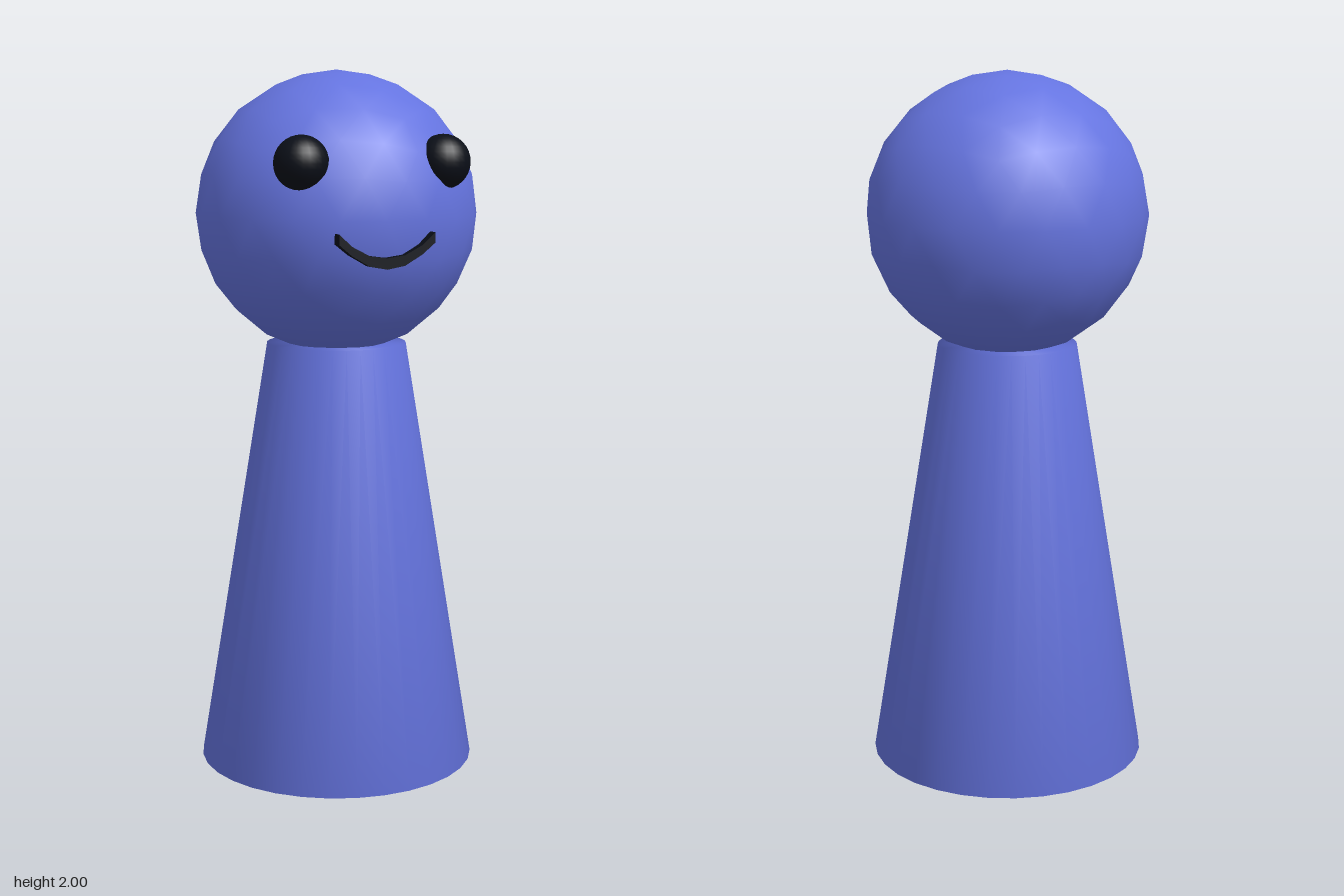
import * as THREE from 'three';
import { mergeVertices } from 'three/addons/utils/BufferGeometryUtils.js';

const blue = new THREE.MeshStandardMaterial({ color: 0x6574e0 });
const black = new THREE.MeshStandardMaterial({ color: 0x0b0f18 });

// Share vertices across edges so the shading runs smoothly over them
function smooth(geometry) {
  geometry.deleteAttribute('normal');
  geometry.deleteAttribute('uv');
  const merged = mergeVertices(geometry, 1e-4);
  merged.computeVertexNormals();
  return merged;
}

export function createModel() {
  const group = new THREE.Group();
  const add = (name, geometry, material, x = 0, y = 0, z = 0) => {
    const mesh = new THREE.Mesh(geometry, material);
    mesh.name = name;
    mesh.position.set(x, y, z);
    group.add(mesh);
  };

  // Tapered body, closed at both ends
  const height = 1.23;
  add('body', smooth(new THREE.CylinderGeometry(0.2, 0.4, height, 32)), blue, 0, height / 2, 0);

  // Icosphere head, turned so that a corner points straight up
  const head = new THREE.IcosahedronGeometry(0.4, 3);
  head.rotateZ(Math.atan(2 / (1 + Math.sqrt(5)))).rotateY(Math.PI);
  add('head', smooth(head), blue, 0, 1.6, 0);

  // Eyes, half sunk into the head
  for (const side of [1, -1]) {
    const name = side > 0 ? 'leftEye' : 'rightEye';
    add(name, new THREE.SphereGeometry(0.075, 24, 16), black, side * 0.203, 1.75, 0.295);
  }

  // Smile: a curved band with upright ends, pushed out through the face
  const lower = [[0, 1.472], [0.05, 1.481], [0.1, 1.51], [0.136, 1.54]];
  const upper = [[0.136, 1.568], [0.1, 1.535], [0.05, 1.509], [0, 1.502]];
  const half = [...lower, ...upper].map(([x, y]) => new THREE.Vector2(x, y));
  const mirrored = half.slice(1, -1).reverse().map((p) => new THREE.Vector2(-p.x, p.y));
  const band = new THREE.ExtrudeGeometry(new THREE.Shape([...half, ...mirrored]), {
    depth: 0.045,
    bevelEnabled: false,
  });
  add('smile', band, black, 0, 0, 0.36);

  return group;
}
